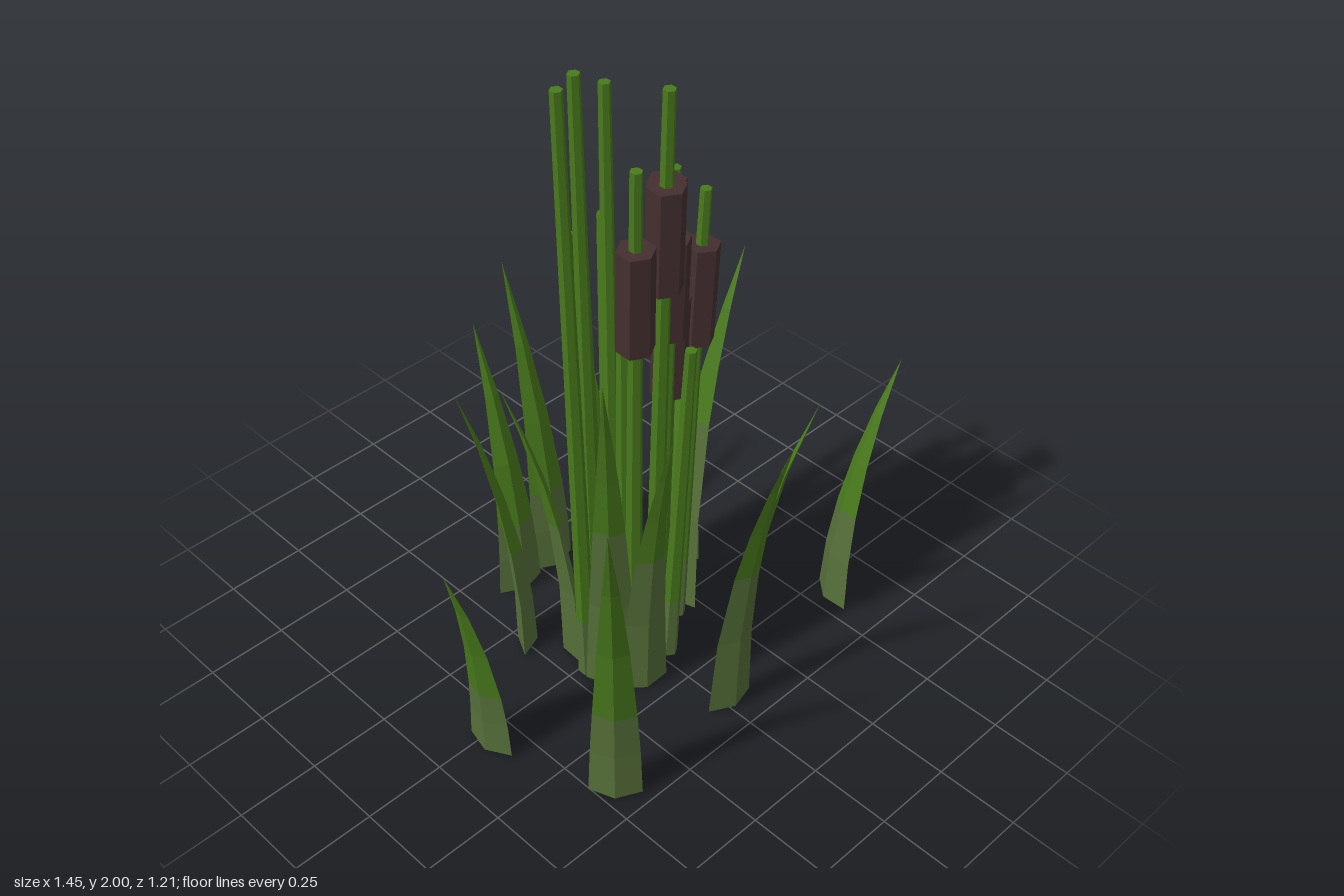
import * as THREE from 'three';

const mat = (name, color) => {
  const m = new THREE.MeshStandardMaterial({ color, flatShading: true });
  m.name = name;
  return m;
};

// Leaf blades: base x, z, tip x, z, height, share of the height that is pale
const BLADES = [
  [-0.59, 0.04, -0.73, 0.06, 0.77, 0.3],
  [-0.455, 0.41, -0.62, 0.56, 1.17, 0.28],
  [0.015, 0.4, -0.01, 0.6, 1.1, 0.5],
  [0.19, 0.28, 0.305, 0.42, 0.96, 0.25],
  [0.565, 0.32, 0.72, 0.375, 0.87, 0.4],
  [0.34, -0.14, 0.5, -0.245, 1.02, 0.22],
  [0.2, -0.34, 0.27, -0.51, 0.88, 0.28],
  [0.045, -0.4, 0.07, -0.605, 1.04, 0.28],
  [-0.095, -0.39, -0.07, -0.58, 0.9, 0.28],
  [-0.235, -0.2, -0.35, -0.33, 0.93, 0.4],
  [-0.16, -0.08, -0.33, -0.16, 1.04, 0.5],
  [-0.17, 0.1, -0.33, 0.24, 1.27, 0.5],
  [-0.11, 0.17, -0.17, 0.335, 1.06, 0.5],
  [0.22, -0.01, 0.45, 0, 1.21, 0.55],
];

// Stalks: top x, z, height, and the height of the seed head's lower end if it has one
const STALKS = [
  [-0.155, 0.18, 1.79, 1.25],
  [-0.035, 0.17, 1.96, 1.38],
  [0.005, 0.13, 1.93, 1.36],
  [0.065, 0.095, 1.67, 1.15],
  [0.105, 0.06, 1.41, 0.92],
  [0.155, 0.005, 1.47, 1.0],
  [0.235, 0.045, 1.51, 1.03],
  [-0.265, 0.025, 1.99],
  [-0.195, 0.01, 2.0],
  [-0.01, -0.08, 1.87],
  [0.11, -0.09, 1.54],
  [0, -0.19, 1.46],
  [0.055, -0.16, 1.42],
  [-0.16, -0.065, 1.5],
  [-0.065, 0.04, 1.35],
  [0.05, 0.18, 1.15],
];

// Skin between diamond cross-sections, closed at the bottom
function loft(rings) {
  const pos = rings.flat(2), index = [0, 3, 2, 0, 2, 1];
  for (let r = 0; r < rings.length - 1; r++) {
    for (let i = 0; i < 4; i++) {
      const a = r * 4 + i, b = r * 4 + (i + 1) % 4;
      index.push(a, b, b + 4, a, b + 4, a + 4);
    }
  }
  const g = new THREE.BufferGeometry();
  g.setAttribute('position', new THREE.Float32BufferAttribute(pos, 3));
  g.setIndex(index);
  const flat = g.toNonIndexed();
  flat.computeVertexNormals();
  return flat;
}

// One diamond section of a blade that bends outward and narrows to a point
function bladeRing([bx, bz, tx, tz, h], t) {
  const dx = tx - bx, dz = tz - bz, len = Math.hypot(dx, dz);
  const ox = dx / len, oz = dz / len;
  const taper = 1 - Math.pow(t, 1.3);
  const w = 0.076 * taper, d = 0.03 * taper;
  const x = bx + dx * t * t, z = bz + dz * t * t, y = 0.005 + (h - 0.005) * t;
  return [
    [x + ox * d, y, z + oz * d],
    [x + oz * w, y, z - ox * w],
    [x - ox * d, y, z - oz * d],
    [x - oz * w, y, z + ox * w],
  ];
}

// Six-sided rod between two points
function rod(a, b, ra, rb, material, name) {
  const dir = b.clone().sub(a);
  const mesh = new THREE.Mesh(new THREE.CylinderGeometry(rb, ra, dir.length(), 6), material);
  mesh.position.copy(a).add(b).multiplyScalar(0.5);
  mesh.quaternion.setFromUnitVectors(new THREE.Vector3(0, 1, 0), dir.normalize());
  mesh.name = name;
  return mesh;
}

export function createModel() {
  const pale = mat('pale base green', 0x567039);
  const green = mat('leaf green', 0x497a1c);
  const brown = mat('seed head brown', 0x452f30);
  const model = new THREE.Group();
  model.name = 'reedClump';

  // Leaf blades
  for (const b of BLADES) {
    const s = b[5], blade = new THREE.Group();
    blade.name = 'leafBlade';
    const lower = new THREE.Mesh(loft([0, s / 2, s].map(t => bladeRing(b, t))), pale);
    lower.name = 'bladeBase';
    const upper = new THREE.Mesh(
      loft([0, 0.33, 0.66, 1].map(k => bladeRing(b, s + (1 - s) * k))), green);
    upper.name = 'bladeTip';
    blade.add(lower, upper);
    model.add(blade);
  }

  // Stalks and seed heads
  for (const [x, z, h, headY] of STALKS) {
    const stalk = new THREE.Group();
    stalk.name = headY ? 'stalkWithHead' : 'stalk';
    const foot = new THREE.Vector3(x * 0.72, 0, z * 0.72);
    const top = new THREE.Vector3(x, h, z);
    const at = y => foot.clone().lerp(top, y / h);
    stalk.add(rod(foot, at(0.22), 0.028, 0.026, pale, 'stalkBase'));
    stalk.add(rod(at(0.22), top, 0.026, 0.017, green, 'stalkStem'));
    if (headY) stalk.add(rod(at(headY), at(headY + 0.31), 0.053, 0.053, brown, 'seedHead'));
    model.add(stalk);
  }
  return model;
}
